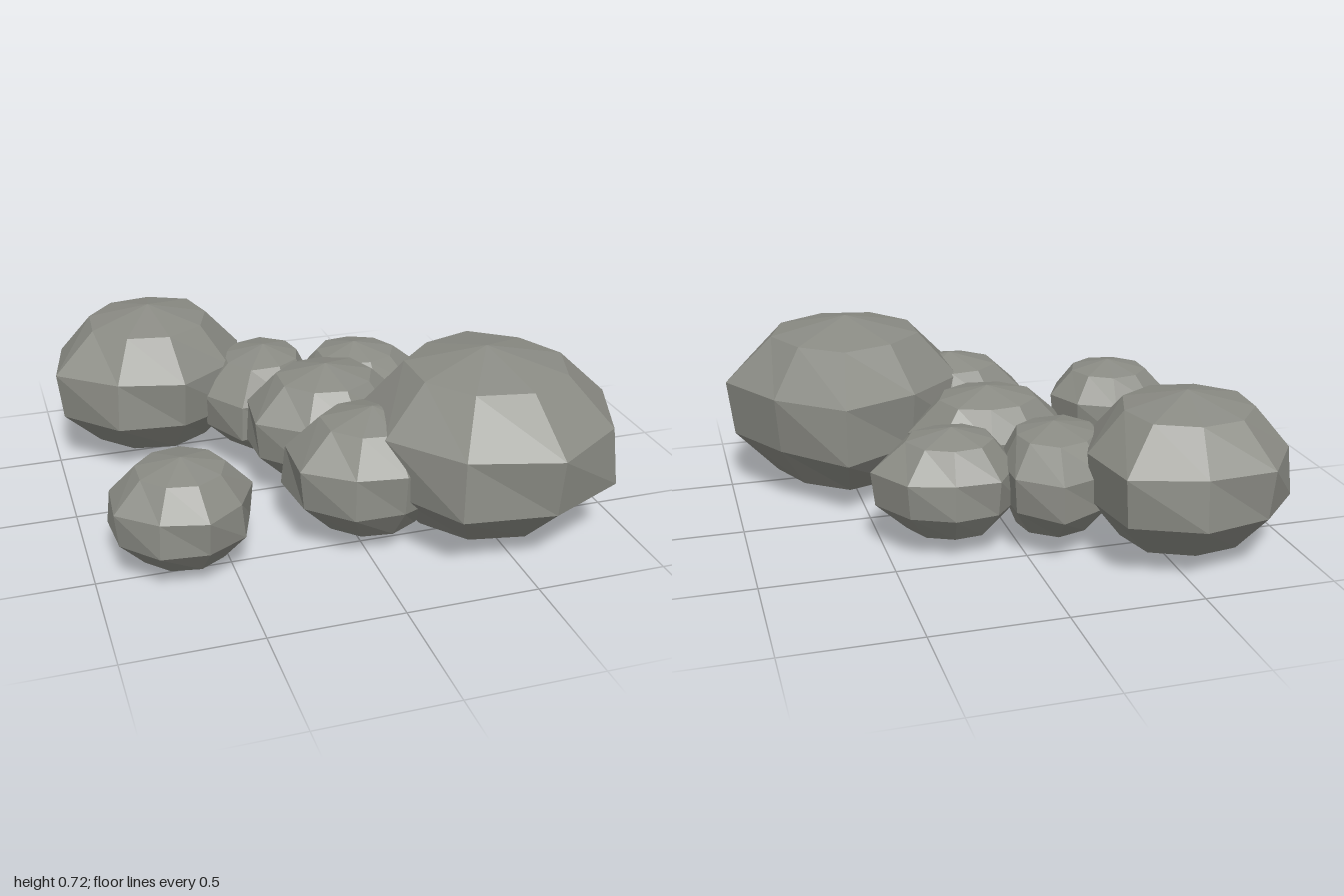
import * as THREE from 'three';

const COLUMNS = 9;
const stone = new THREE.MeshStandardMaterial({ color: 0x8a8b84, flatShading: true });
stone.name = 'grey stone';

// Coarse sphere of nine columns; each column (40 degrees apart, from +x towards +z) has its own girth.
function makeRock(name, x, z, bottom, top, girths) {
  const mean = girths.reduce((a, b) => a + b) / COLUMNS;
  const geo = new THREE.SphereGeometry(1, COLUMNS, 5, Math.PI);
  const pos = geo.attributes.position;
  for (let i = 0; i < pos.count; i++) {
    const ring = Math.floor(i / (COLUMNS + 1));
    const column = (COLUMNS - (i % (COLUMNS + 1))) % COLUMNS;
    const girth = girths[column];
    // Odd columns bulge at the lower waist ring, even ones at the upper
    const bulge = ring === 2 + (column % 2) ? 1 : 0.95;
    const shoulder = 0.62 * (girth + mean) / 2;
    const radius = [0, shoulder, girth * bulge, girth * bulge, shoulder, 0][ring];
    const angle = column * Math.PI * 2 / COLUMNS;
    const y = THREE.MathUtils.lerp(bottom, top, (pos.getY(i) + 1) / 2);
    pos.setXYZ(i, radius * Math.cos(angle), y, radius * Math.sin(angle));
  }
  geo.computeVertexNormals();
  const mesh = new THREE.Mesh(geo, stone);
  mesh.name = name;
  mesh.position.set(x, 0, z);
  return mesh;
}

export function createModel() {
  const group = new THREE.Group();
  group.name = 'rockCluster';
  group.add(
    // Two large rocks at opposite ends
    makeRock('largeFrontRock', 0.5, 0.45, 0, 0.72, [0.5, 0.52, 0.52, 0.51, 0.48, 0.49, 0.42, 0.52, 0.44]),
    makeRock('largeBackRock', -0.58, -0.58, 0.02, 0.63, [0.38, 0.39, 0.4, 0.4, 0.44, 0.4, 0.4, 0.39, 0.44]),
    // Smaller rocks wedged between them
    makeRock('middleBackRock', -0.14, -0.37, 0.04, 0.48, [0.2, 0.22, 0.25, 0.34, 0.3, 0.27, 0.26, 0.31, 0.26]),
    makeRock('rightBackRock', 0.24, -0.31, 0.04, 0.47, [0.31, 0.27, 0.22, 0.24, 0.25, 0.25, 0.26, 0.24, 0.27]),
    makeRock('centreRock', 0.02, -0.01, 0.03, 0.52, [0.32, 0.3, 0.3, 0.31, 0.34, 0.33, 0.27, 0.25, 0.32]),
    makeRock('middleFrontRock', 0.06, 0.44, 0.03, 0.53, [0.27, 0.28, 0.27, 0.29, 0.33, 0.34, 0.27, 0.25, 0.27]),
    // One rock lying apart
    makeRock('looseRock', -0.66, 0.45, 0.02, 0.435, [0.26, 0.25, 0.26, 0.26, 0.28, 0.28, 0.26, 0.26, 0.25]),
  );
  return group;
}
